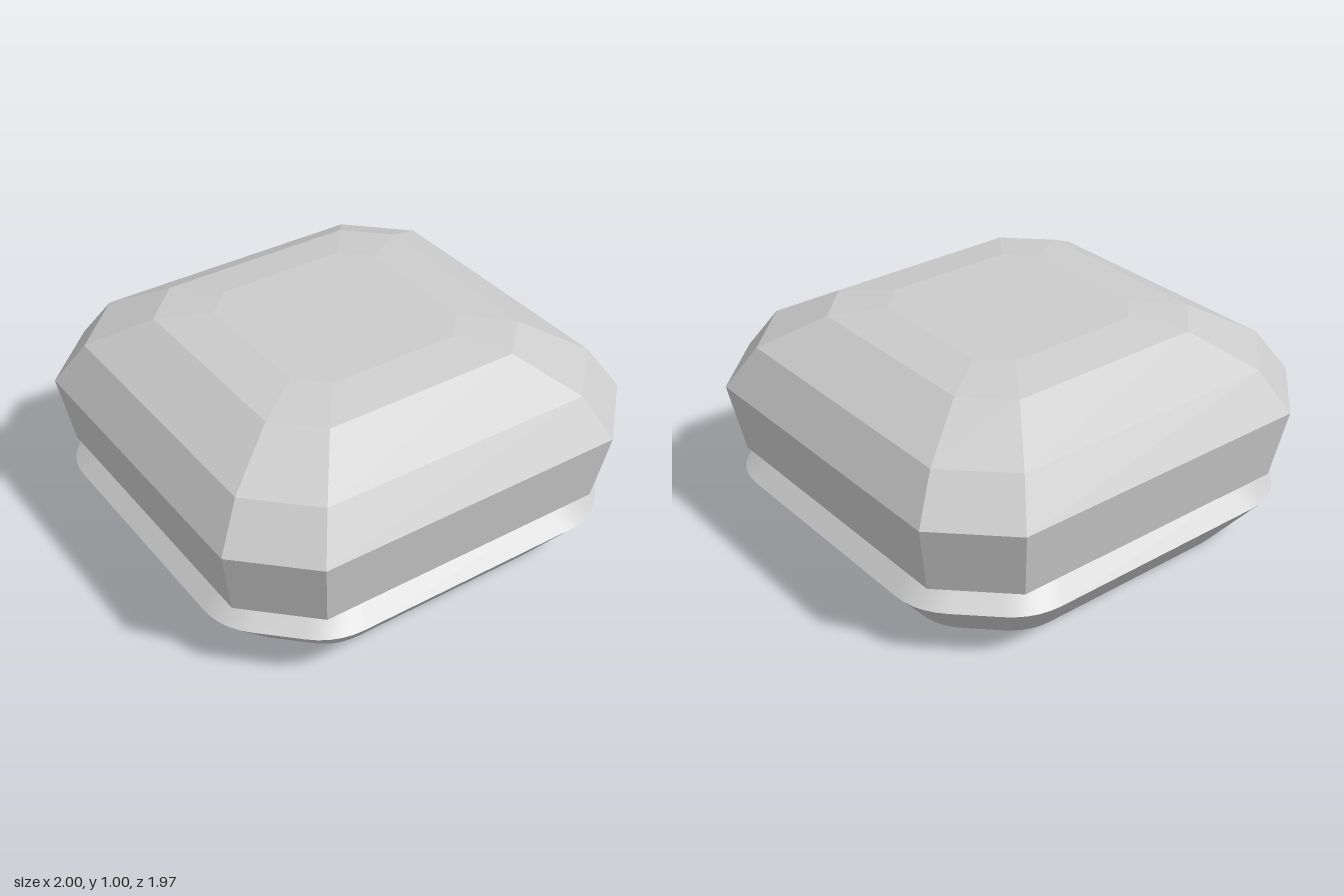
import * as THREE from 'three';
import { mergeGeometries } from 'three/addons/utils/BufferGeometryUtils.js';

const DEPTH = 0.985; // z size relative to x

// Octagon with cut corners, half width 1; side = half length of the straight sides
function octagon(side) {
  const quarter = [[1, side], [side, 1]];
  const pts = [];
  for (let q = 0; q < 4; q++) {
    for (const [x, z] of quarter) {
      const c = [1, 0, -1, 0][q], s = [0, 1, 0, -1][q];
      pts.push(new THREE.Vector2(x * c - z * s, x * s + z * c));
    }
  }
  return pts;
}

// Replace each corner of an outline by a short curve
function roundCorners(pts, cut, steps) {
  const out = [];
  pts.forEach((p, i) => {
    const prev = pts[(i + pts.length - 1) % pts.length];
    const next = pts[(i + 1) % pts.length];
    const a = p.clone().add(prev.clone().sub(p).setLength(cut));
    const b = p.clone().add(next.clone().sub(p).setLength(cut));
    out.push(...new THREE.QuadraticBezierCurve(a, p, b).getPoints(steps));
  });
  return out;
}

// One band between two scaled copies of the outline, each given as [scale, y]
function band(outline, [s0, y0], [s1, y1]) {
  const n = outline.length, pos = [], idx = [];
  for (const [s, y] of [[s0, y0], [s1, y1]]) {
    for (const p of outline) pos.push(p.x * s, y, p.y * s * DEPTH);
  }
  for (let i = 0; i < n; i++) {
    const j = (i + 1) % n;
    if (s0 > 0) idx.push(i, n + i, j);
    if (s1 > 0) idx.push(j, n + i, n + j);
  }
  // a loop collapsed to a point leaves only its triangle fan
  if (s0 === 0) for (let k = 0; k < idx.length; k += 3) idx[k] = 0;
  const g = new THREE.BufferGeometry();
  g.setAttribute('position', new THREE.Float32BufferAttribute(pos, 3));
  g.setIndex(idx);
  g.computeVertexNormals();
  return g;
}

// Bands keep their own normals, so profile edges stay sharp
function loft(outline, profile) {
  const bands = [];
  for (let i = 0; i + 1 < profile.length; i++) bands.push(band(outline, profile[i], profile[i + 1]));
  return mergeGeometries(bands);
}

export function createModel() {
  const group = new THREE.Group();
  group.name = 'mountedGem';

  // Faceted stone: shallow underside, flared girdle, stepped crown and table
  const gemGeo = loft(octagon(0.715), [
    [0, 0.13], [0.41, 0.13], [0.7, 0.16], [0.9, 0.3], [0.945, 0.335],
    [1, 0.645], [0.88, 0.83], [0.63, 0.97], [0.42, 1], [0, 1],
  ]).toNonIndexed();
  gemGeo.computeVertexNormals();
  const gem = new THREE.Mesh(gemGeo, new THREE.MeshStandardMaterial({ color: 0xcccccc, flatShading: true }));
  gem.name = 'gem';
  group.add(gem);

  // Open setting: flared outside, bevelled top edge, sloped inner wall
  const rim = roundCorners(octagon(0.665), 0.13, 5);
  const setting = new THREE.Mesh(
    loft(rim, [[0.805, 0], [0.995, 0.24], [0.915, 0.31], [0.68, 0.25], [0.68, 0.15], [0.805, 0]]),
    new THREE.MeshStandardMaterial({ color: 0xcccccc }),
  );
  setting.name = 'setting';
  group.add(setting);

  return group;
}
